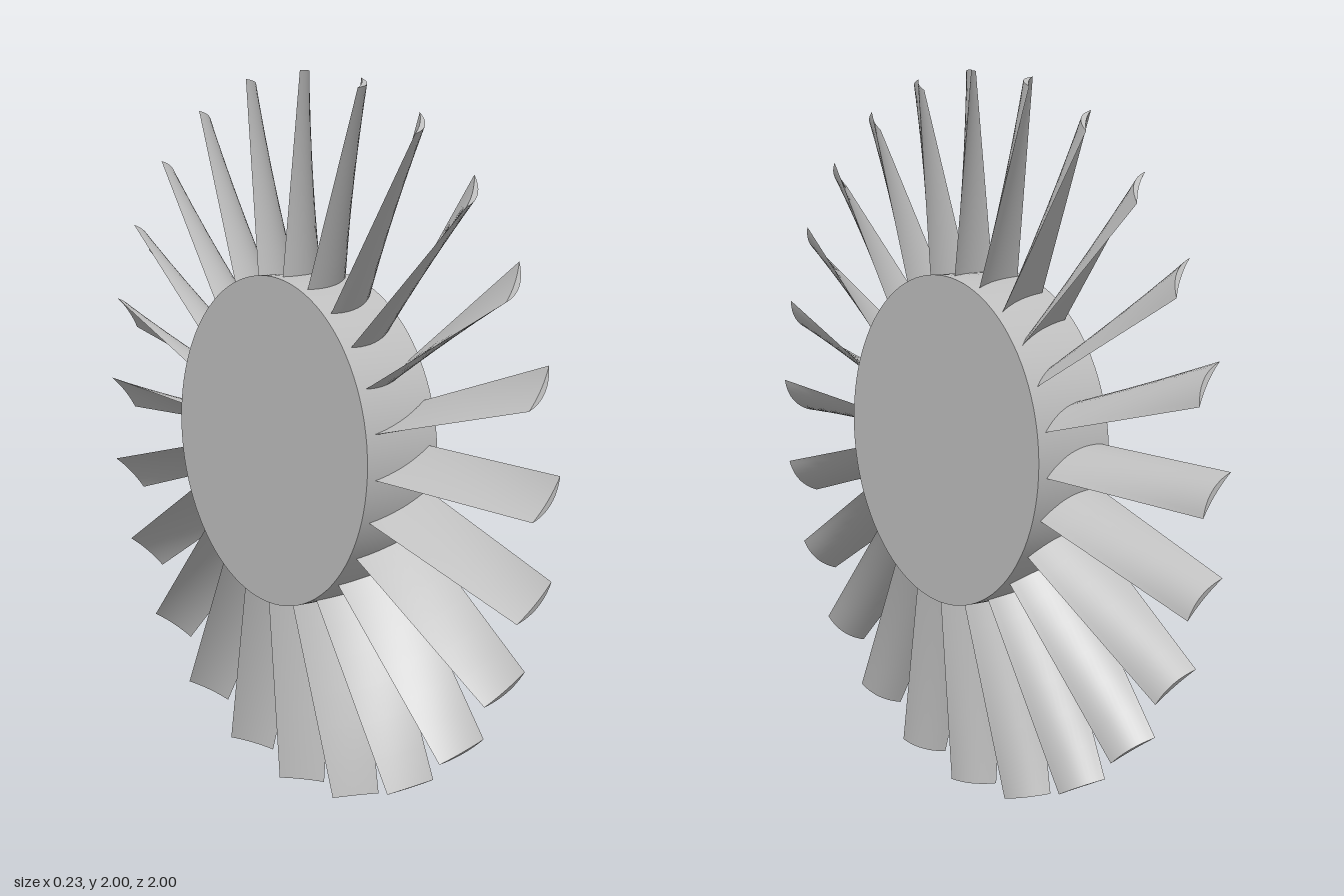
import * as THREE from 'three';

const BLADES = 24, STEPS = 12, RINGS = 6;
const HUB_RADIUS = 0.455, HUB_WIDTH = 0.228;

// Blade sections: half chord along x and y, camber depth, half thickness, radius
const ROOT = { dx: 0.09, dy: 0.036, camber: 0.017, half: 0.007, r: 0.43 };
const TIP = { dx: 0.042, dy: 0.051, camber: 0.013, half: 0.007, r: 1.0 };

// Point on a blade: k runs root to tip, t along the chord, side is -1 or 1
function bladePoint(k, t, side) {
  const mix = (key) => THREE.MathUtils.lerp(ROOT[key], TIP[key], k);
  const dx = mix('dx'), dy = mix('dy'), len = Math.hypot(dx, dy);
  const bow = (mix('camber') - side * mix('half')) * (1 - t * t);
  return [dx * t + (dy / len) * bow, dy * t - (dx / len) * bow, mix('r')];
}

// Thin cambered blade pointing along +z, with crisp long edges
function bladeGeometry() {
  const pos = [], index = [];
  const grid = (cols, rows, point) => {
    const base = pos.length / 3;
    for (let j = 0; j <= rows; j++)
      for (let i = 0; i <= cols; i++) pos.push(...point(i / cols, j / rows));
    for (let j = 0; j < rows; j++)
      for (let i = 0; i < cols; i++) {
        const a = base + j * (cols + 1) + i, d = a + cols + 1;
        index.push(a, a + 1, d + 1, a, d + 1, d);
      }
  };
  grid(STEPS, RINGS, (u, v) => bladePoint(v, 2 * u - 1, -1)); // outer curve
  grid(STEPS, RINGS, (u, v) => bladePoint(v, 1 - 2 * u, 1)); // inner curve
  grid(STEPS, 1, (u, v) => bladePoint(1, 2 * u - 1, 2 * v - 1)); // tip
  grid(STEPS, 1, (u, v) => bladePoint(0, 1 - 2 * u, 2 * v - 1)); // root
  const geo = new THREE.BufferGeometry();
  geo.setAttribute('position', new THREE.Float32BufferAttribute(pos, 3));
  geo.setIndex(index);
  geo.computeVertexNormals();
  return geo;
}

export function createModel() {
  const model = new THREE.Group();
  model.name = 'turbineWheel';
  const metal = new THREE.MeshStandardMaterial({ color: 0xc0c0c0 });
  metal.name = 'grey metal';

  // Solid hub, its axis along x
  const hub = new THREE.Mesh(
    new THREE.CylinderGeometry(HUB_RADIUS, HUB_RADIUS, HUB_WIDTH, 96), metal);
  hub.name = 'hub';
  hub.rotation.z = Math.PI / 2;
  hub.position.y = 1;
  model.add(hub);

  // Ring of twisted blades
  const blades = new THREE.Group();
  blades.name = 'blades';
  blades.position.y = 1;
  const geo = bladeGeometry();
  for (let i = 0; i < BLADES; i++) {
    const blade = new THREE.Mesh(geo, metal);
    blade.name = 'blade' + (i + 1);
    blade.rotation.x = (i / BLADES) * Math.PI * 2;
    blades.add(blade);
  }
  model.add(blades);
  return model;
}
